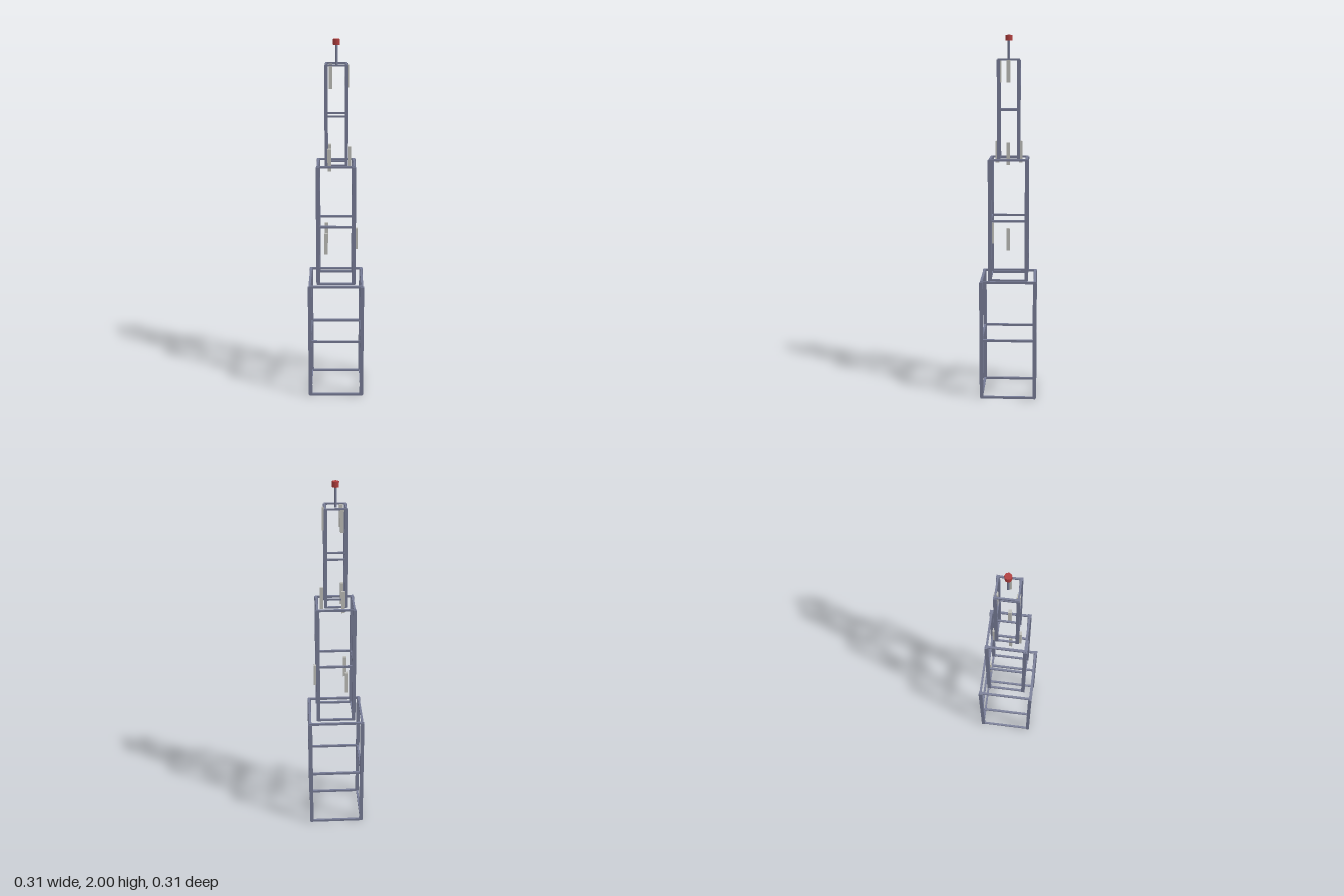
import * as THREE from 'three';

function material(name, color) {
  const m = new THREE.MeshStandardMaterial({ color });
  m.name = name;
  return m;
}

export function createModel() {
  const steel = material('blue grey steel', 0x777c96);
  const panel = material('pale grey panel', 0xbdbdb8);
  const red = material('beacon red', 0xb03c3c);

  const tower = new THREE.Group();
  tower.name = 'latticeTower';

  function add(parent, name, geometry, mat, x, y, z) {
    const mesh = new THREE.Mesh(geometry, mat);
    mesh.name = name;
    mesh.position.set(x, y, z);
    parent.add(mesh);
    return mesh;
  }

  // Stepped square tiers: four corner posts and three rings of beams
  const tiers = [
    { name: 'lowerTier', half: 0.147, y0: 0.006, y1: 0.67, post: 0.02, beam: 0.012 },
    { name: 'middleTier', half: 0.1, y0: 0.67, y1: 1.337, post: 0.02, beam: 0.011 },
    { name: 'upperTier', half: 0.054, y0: 1.337, y1: 1.87, post: 0.017, beam: 0.009 },
  ];
  for (const { name, half, y0, y1, post, beam } of tiers) {
    const tier = new THREE.Group();
    tier.name = name;
    tower.add(tier);
    const postShape = new THREE.BoxGeometry(post, y1 - y0, post);
    const beamX = new THREE.BoxGeometry(2 * half + beam, beam, beam);
    const beamZ = new THREE.BoxGeometry(beam, beam, 2 * half - beam);
    for (const sx of [-1, 1])
      for (const sz of [-1, 1])
        add(tier, 'cornerPost', postShape, steel, sx * half, (y0 + y1) / 2, sz * half);
    for (const y of [y0, (y0 + y1) / 2, y1])
      for (const s of [-1, 1]) {
        add(tier, 'crossBeam', beamX, steel, 0, y, s * half);
        add(tier, 'sideBeam', beamZ, steel, s * half, y, 0);
      }
  }

  // Antenna panels: three around the tower at each level
  const panelShape = new THREE.BoxGeometry(0.019, 0.12, 0.019);
  for (const [radius, y] of [[0.113, 0.906], [0.075, 1.37], [0.061, 1.808]])
    for (let i = 0; i < 3; i++) {
      const a = (i * 2 * Math.PI) / 3;
      add(tower, 'antennaPanel', panelShape, panel, radius * Math.cos(a), y, radius * Math.sin(a));
    }

  // Mast and warning beacon
  add(tower, 'mast', new THREE.CylinderGeometry(0.0065, 0.0065, 0.11, 8), steel, 0, 1.92, 0);
  add(tower, 'beacon', new THREE.CylinderGeometry(0.018, 0.018, 0.03, 8), red, 0, 1.985, 0);

  return tower;
}
